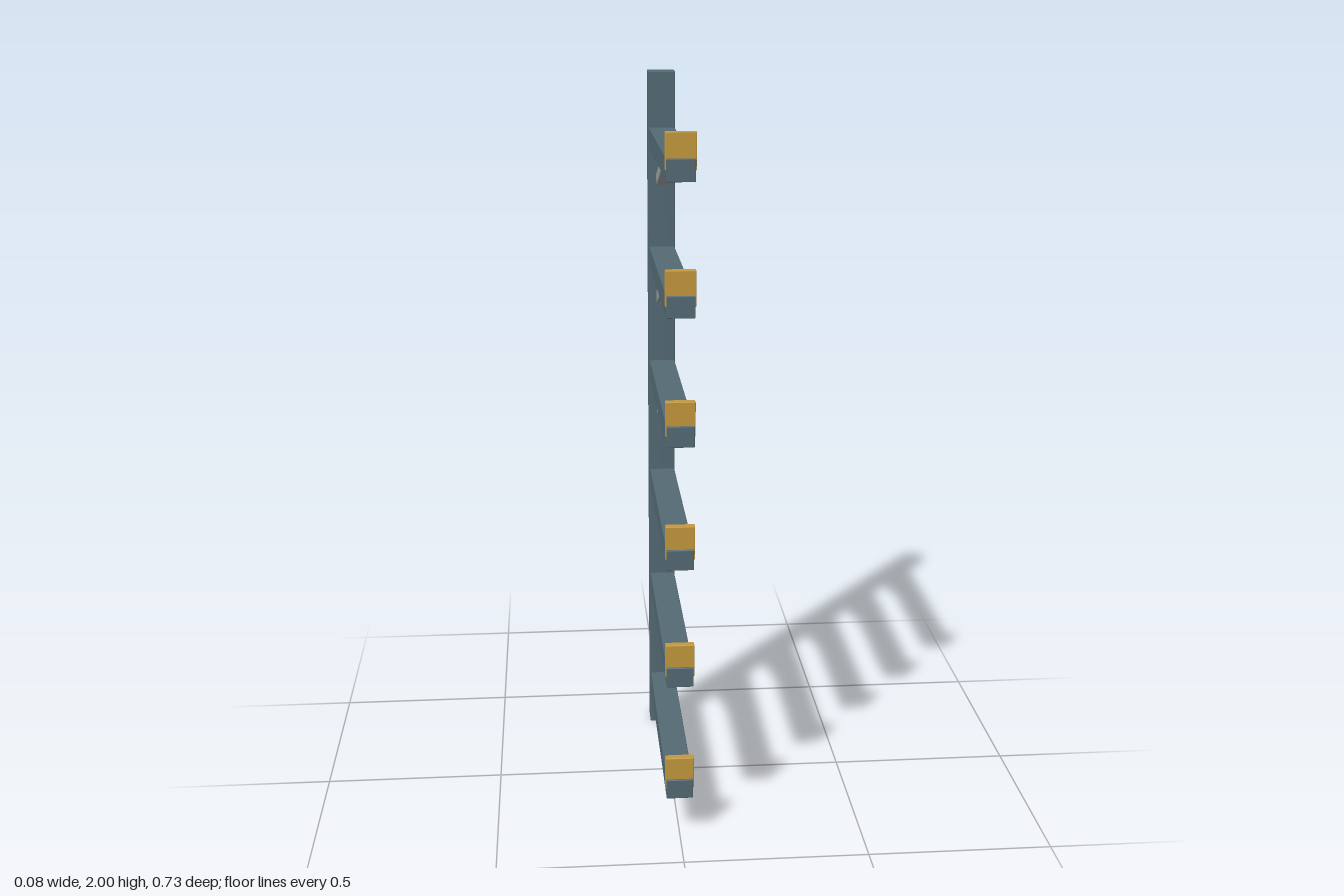
import * as THREE from 'three';
import { RoundedBoxGeometry } from 'three/addons/geometries/RoundedBoxGeometry.js';

const material = (name, color) => {
  const m = new THREE.MeshStandardMaterial({ color });
  m.name = name;
  return m;
};

export function createModel() {
  const steel = material('slate steel', 0x546a74);
  const grey = material('bare metal', 0x9a9fa2);
  const amber = material('amber stop', 0xc4993c);

  // Box with slightly eased edges
  const addBox = (parent, name, mat, [w, h, d], [x, y, z]) => {
    const mesh = new THREE.Mesh(new RoundedBoxGeometry(w, h, d, 1, 0.002), mat);
    mesh.name = name;
    mesh.position.set(x, y, z);
    parent.add(mesh);
    return mesh;
  };

  const rack = new THREE.Group();
  rack.name = 'cantileverRack';

  // Upright column at the back
  addBox(rack, 'post', steel, [0.075, 2, 0.061], [0, 1, -0.3325]);

  // Six evenly spaced arms, each with an end stop and a diagonal brace
  for (let i = 0; i < 6; i++) {
    const level = new THREE.Group();
    level.name = `armLevel${i + 1}`;
    level.position.y = i * 0.3355;
    addBox(level, 'arm', steel, [0.072, 0.056, 0.67], [0, 0.141, 0.028]);
    addBox(level, 'endStop', amber, [0.077, 0.092, 0.022], [0, 0.186, 0.346]);
    const brace = addBox(level, 'brace', grey, [0.032, 0.034, 0.245], [0, 0.067, -0.184]);
    brace.rotation.x = -THREE.MathUtils.degToRad(20);
    rack.add(level);
  }
  return rack;
}
